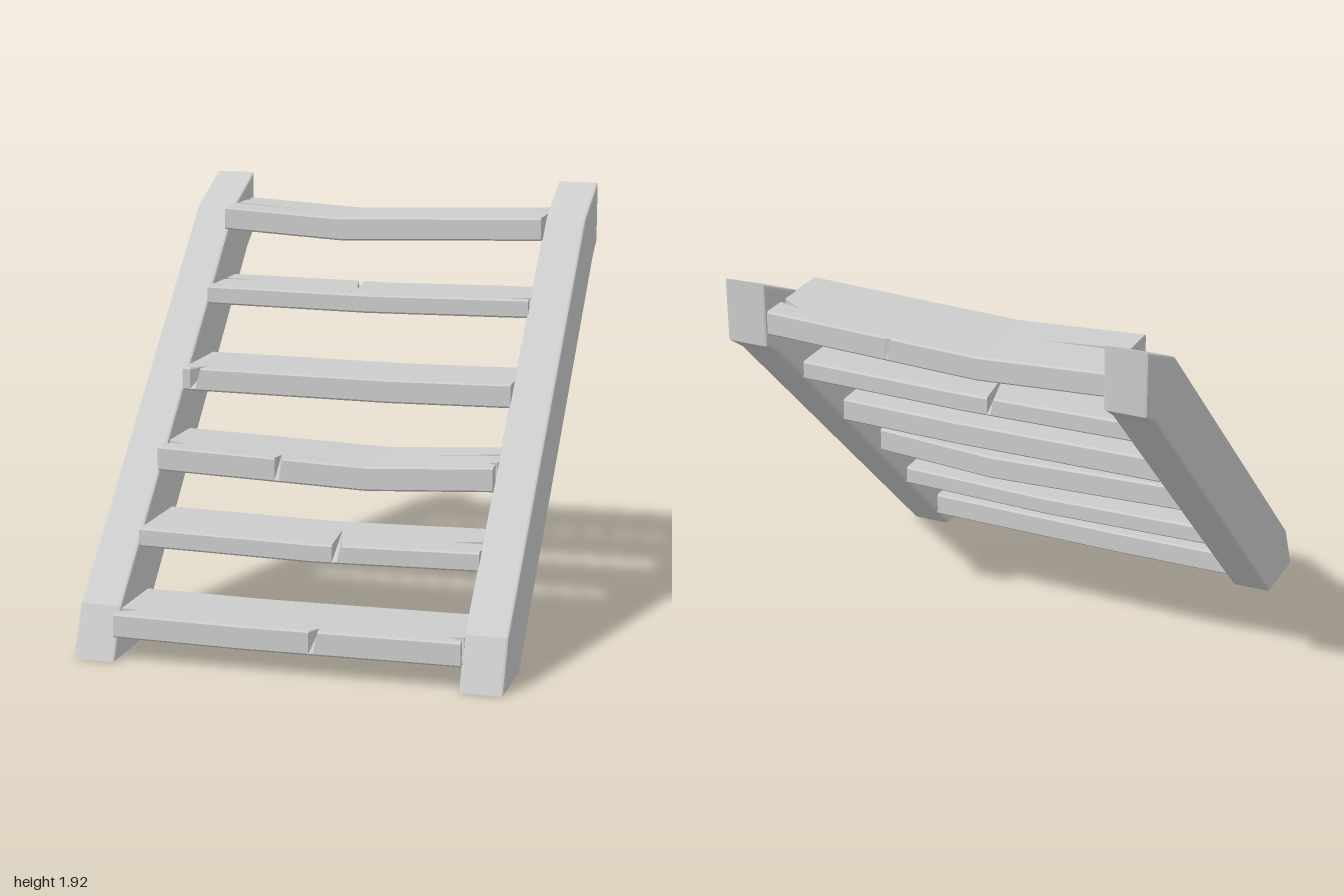
import * as THREE from 'three';

const material = new THREE.MeshStandardMaterial({ color: 0xcccccc, flatShading: true, side: THREE.DoubleSide });
const HALF = 0.77;   // half length of a tread
const BEVEL = 0.008;

// Sloping side rail: a side profile (z, y) extruded across its width
function makeRail(x) {
  const profile = [[1, 0], [0.9, 0.225], [-0.7, 1.785], [-1, 1.92], [-1, 1.64], [-0.9, 1.57], [0.68, 0]];
  const shape = new THREE.Shape(profile.map(([z, y]) => new THREE.Vector2(z, y)));
  const b = 0.012;
  const geo = new THREE.ExtrudeGeometry(shape, {
    depth: 0.19 - 2 * b, bevelThickness: b, bevelSize: b, bevelOffset: -b, bevelSegments: 2,
  });
  geo.translate(0, 0, -(0.19 - 2 * b) / 2);
  geo.rotateY(-Math.PI / 2);
  geo.translate(x, 0, 0);
  return new THREE.Mesh(geo, material);
}

// Plan outline of one half of a tread, anticlockwise from above, with its split notches.
// A notch is [edge, position along the edge, tip x, tip z, width].
function outline(x0, x1, front, back, cracks) {
  const points = [];
  const corner = (x, z) => points.push({ x, z, ex: x, ez: z });
  const notches = (edge, dir, place) => {
    cracks.filter((c) => c[0] === edge && c[2] > x0 && c[2] < x1)
      .sort((a, b) => dir * (a[1] - b[1]))
      .forEach(([, at, tx, tz, w]) => {
        corner(...place(at - dir * w / 2));
        const [ex, ez] = place(at);
        points.push({ x: tx, z: tz, ex, ez });
        corner(...place(at + dir * w / 2));
      });
  };
  corner(x0, front);
  notches('front', 1, (x) => [x, front]);
  corner(x1, front);
  if (x1 === HALF) notches('left', -1, (z) => [x1, z]);
  corner(x1, back);
  notches('back', -1, (x) => [x, back]);
  corner(x0, back);
  if (x0 === -HALF) notches('right', 1, (z) => [x0, z]);
  return points;
}

// Loft four rings up through the board; notches close towards the underside
function halfTread(x0, x1, t) {
  const { front, back, top, bottom, bend, sag, cracks } = t;
  const pts = outline(x0, x1, front, back, cracks);
  const n = pts.length;
  const rings = [[bottom, BEVEL, false], [bottom + BEVEL, 0, false], [top - BEVEL, 0, true], [top, BEVEL, true]];
  const pos = [];
  const index = [];
  for (const [y, inset, open] of rings) {
    for (const p of pts) {
      const x = open ? p.x : p.ex;
      const z = THREE.MathUtils.clamp(open ? p.z : p.ez, back + inset, front - inset);
      const end = x < bend ? -HALF : HALF;
      pos.push(x, y - sag * (1 - (x - bend) / (end - bend)), z);
    }
  }
  for (let r = 0; r < 3; r++) {
    for (let i = 0; i < n; i++) {
      const a = r * n + i, b = r * n + (i + 1) % n;
      index.push(a, b, b + n, a, b + n, a + n);
    }
  }
  const cap = (key) => THREE.ShapeUtils.triangulateShape(
    pts.map((p) => new THREE.Vector2(p[key[0]], -p[key[1]])), []);
  cap(['x', 'z']).forEach(([a, b, c]) => index.push(3 * n + a, 3 * n + b, 3 * n + c));
  cap(['ex', 'ez']).forEach(([a, b, c]) => index.push(a, c, b));
  const indexed = new THREE.BufferGeometry();
  indexed.setAttribute('position', new THREE.Float32BufferAttribute(pos, 3));
  indexed.setIndex(index);
  const geo = indexed.toNonIndexed();
  geo.computeVertexNormals();
  return new THREE.Mesh(geo, material);
}

// Worn boards, from the lowest to the highest
const treads = [
  { front: 0.99, back: 0.565, top: 0.215, bottom: 0.107, bend: -0.2, sag: 0.006, cracks: [
    ['right', 0.92, -0.67, 0.905, 0.05], ['front', 0.13, 0.145, 0.94, 0.04], ['left', 0.94, 0.71, 0.92, 0.05]] },
  { front: 0.66, back: 0.24, top: 0.515, bottom: 0.43, bend: 0.03, sag: 0.015, cracks: [
    ['front', 0.14, 0.09, 0.4, 0.045], ['left', 0.5, 0.61, 0.5, 0.05]] },
  { front: 0.41, back: -0.015, top: 0.83, bottom: 0.72, bend: 0.2, sag: 0.032, cracks: [
    ['front', -0.2, -0.21, 0.34, 0.04], ['left', 0.15, 0.43, 0.165, 0.03],
    ['left', 0.33, 0.73, 0.32, 0.04], ['right', 0.29, -0.66, 0.315, 0.06]] },
  { front: 0.065, back: -0.36, top: 1.13, bottom: 1.023, bend: 0.2, sag: 0.008, cracks: [
    ['front', -0.71, -0.67, -0.01, 0.05]] },
  { front: -0.295, back: -0.705, top: 1.455, bottom: 1.37, bend: 0, sag: 0.01, cracks: [
    ['right', -0.55, -0.61, -0.55, 0.05], ['back', -0.13, -0.08, -0.45, 0.03],
    ['left', -0.34, 0.67, -0.31, 0.03]] },
  { front: -0.56, back: -0.99, top: 1.797, bottom: 1.69, bend: -0.2, sag: 0.033, cracks: [
    ['right', -0.745, -0.38, -0.745, 0.03], ['right', -0.91, -0.73, -0.9, 0.04],
    ['left', -0.85, 0.66, -0.9, 0.04], ['back', 0.2, 0.17, -0.975, 0.03]] },
];

export function createModel() {
  const stairs = new THREE.Group();
  stairs.name = 'woodenStairs';

  const leftRail = makeRail(0.86);
  leftRail.name = 'leftRail';
  const rightRail = makeRail(-0.86);
  rightRail.name = 'rightRail';
  stairs.add(leftRail, rightRail);

  // Each tread is two straight halves meeting at its bend
  treads.forEach((t, i) => {
    const tread = new THREE.Group();
    tread.name = `tread${i + 1}`;
    const right = halfTread(-HALF, t.bend, t);
    right.name = 'treadRightHalf';
    const left = halfTread(t.bend, HALF, t);
    left.name = 'treadLeftHalf';
    tread.add(right, left);
    stairs.add(tread);
  });
  return stairs;
}
